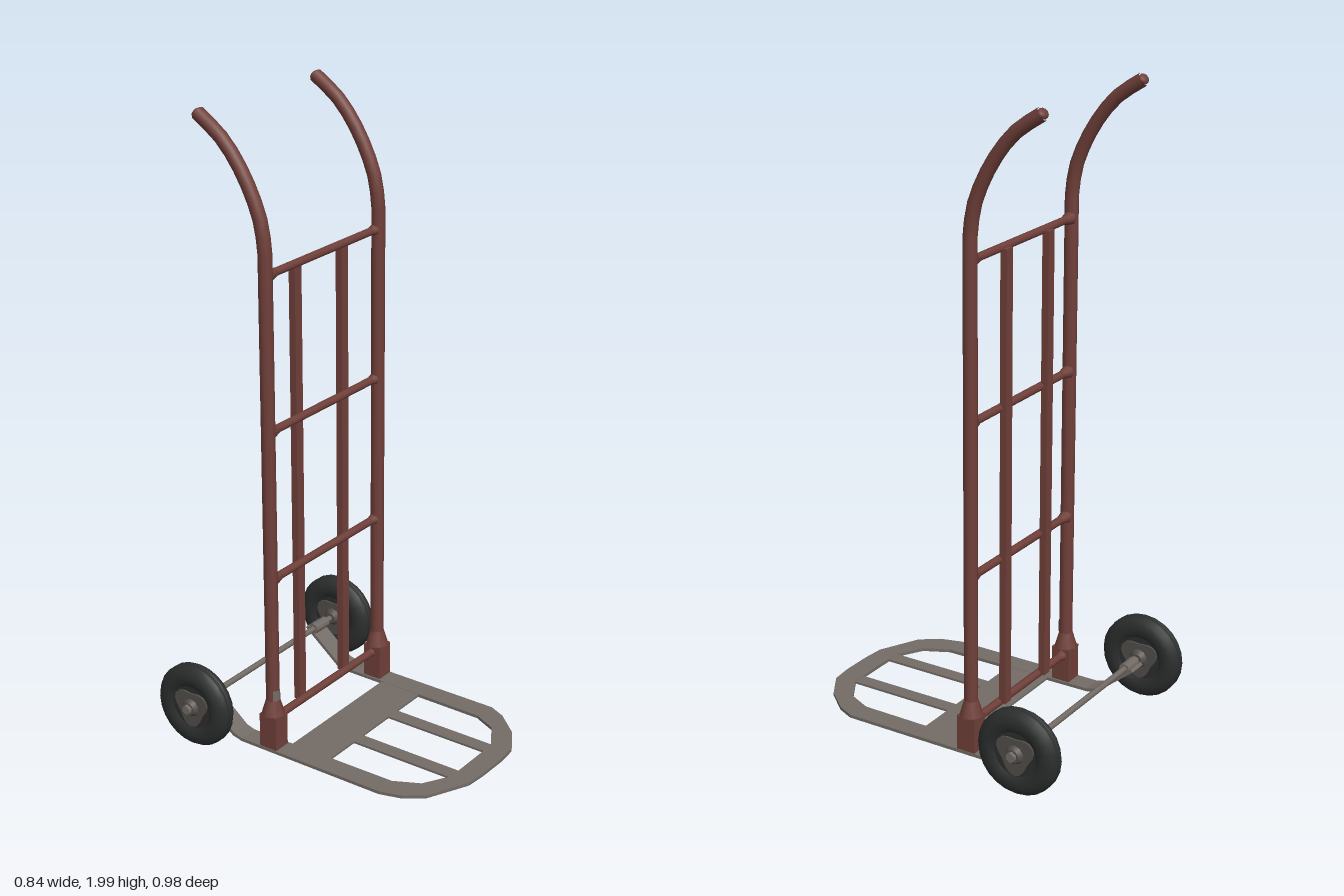
import * as THREE from 'three';

const mat = (name, color) => {
  const m = new THREE.MeshStandardMaterial({ color });
  m.name = name;
  return m;
};

export function createModel() {
  const group = new THREE.Group();
  const red = mat('rusty red paint', 0x71403a);
  const steel = mat('bare steel', 0x746c66);
  const rubber = mat('black rubber', 0x2c2e2e);
  const hubMetal = mat('dark hub metal', 0x524e4b);
  const CX = -0.01, POST = 0.274, ZP = -0.125, AXLE_Y = 0.137, AXLE_Z = -0.357;

  const add = (name, geo, material, x = 0, y = 0, z = 0, parent = group) => {
    const mesh = new THREE.Mesh(geo, material);
    mesh.name = name;
    mesh.position.set(x, y, z);
    parent.add(mesh);
    return mesh;
  };
  const box = (name, m, x0, x1, y0, y1, z0, z1) =>
    add(name, new THREE.BoxGeometry(x1 - x0, y1 - y0, z1 - z0), m,
      (x0 + x1) / 2, (y0 + y1) / 2, (z0 + z1) / 2);
  const barX = (name, m, x0, x1, y, z, r0, r1 = r0, sides = 8, parent = group) => {
    const geo = new THREE.CylinderGeometry(r1, r0, x1 - x0, sides).rotateZ(-Math.PI / 2);
    return add(name, geo, m, (x0 + x1) / 2, y, z, parent);
  };

  // Uprights with swept-back handles
  const path = new THREE.CurvePath();
  const pts = [[0.04, ZP], [1.62, ZP], [1.70, -0.138], [1.78, -0.17], [1.86, -0.218], [1.925, -0.275], [1.98, -0.355]]
    .map(([y, z]) => new THREE.Vector3(0, y, z));
  path.add(new THREE.LineCurve3(pts[0], pts[1]));
  path.add(new THREE.CatmullRomCurve3(pts.slice(1)));
  for (const s of [-1, 1]) {
    const x = CX + s * POST;
    const side = s < 0 ? 'right' : 'left';
    add(side + 'Upright', new THREE.TubeGeometry(path, 40, 0.021, 10), red, x);
    const cap = add(side + 'HandleEnd', new THREE.SphereGeometry(0.021, 10, 6), red, x, 1.98, -0.355);
    cap.scale.set(1, 0.8, 0.5);
    cap.rotation.x = 0.6;
    box(side + 'Socket', red, x - 0.029, x + 0.029, 0.028, 0.145, -0.155, -0.093);
    add(side + 'SocketCollar', new THREE.CylinderGeometry(0.022, 0.037, 0.05, 8), red, x, 0.168, ZP);
  }
  // Worn paint on one upright
  add('wornPatch', new THREE.CylinderGeometry(0.0225, 0.0225, 0.035, 10, 1, true, -0.9, 1.8),
    steel, CX - POST, 0.212, ZP);

  // Ladder rungs with flared weld ends
  for (const y of [0.12, 0.592, 1.067, 1.545]) {
    barX('rung', red, CX - POST, CX + POST, y, -0.128, 0.0125);
    barX('rungWeld', red, CX - POST + 0.015, CX - POST + 0.05, y, -0.128, 0.021, 0.0125);
    barX('rungWeld', red, CX + POST - 0.035, CX + POST - 0.015, y, -0.128, 0.0125, 0.018);
  }
  for (const x of [-0.125, 0.102])
    box('verticalSlat', red, x - 0.016, x + 0.016, 0.12, 1.545, -0.153, -0.131);

  // U-shaped toe frame
  const outline = [
    [-0.315, -0.23], [-0.315, 0.29], [-0.295, 0.36], [-0.25, 0.42], [-0.12, 0.483], [-0.05, 0.489],
    [0.05, 0.49], [0.12, 0.483], [0.205, 0.43], [0.27, 0.355], [0.295, 0.30], [0.295, -0.23],
    [0.23, -0.23], [0.225, 0.29], [0.19, 0.365], [0.1, 0.42], [-0.12, 0.42], [-0.205, 0.37],
    [-0.245, 0.29], [-0.25, -0.23]];
  const shape = new THREE.Shape(outline.map(([x, z]) => new THREE.Vector2(x, z)));
  const frame = new THREE.ExtrudeGeometry(shape, { depth: 0.01, bevelEnabled: false }).rotateX(Math.PI / 2);
  add('toeFrame', frame, steel, 0, 0.033, 0);
  box('toeCrossPlate', steel, -0.25, 0.23, 0.025, 0.032, -0.08, 0.065);
  for (const x of [-0.103, 0.082])
    box('toeSlat', steel, x - 0.023, x + 0.023, 0.025, 0.032, 0.06, 0.43);

  // Frame rails bending up to the axle
  const ramp = [[-0.225, 0.033], [-0.255, 0.041], [-0.38, 0.142], [-0.387, 0.133], [-0.26, 0.031], [-0.225, 0.023]];
  const rampShape = new THREE.Shape(ramp.map(([z, y]) => new THREE.Vector2(-z, y)));
  for (const x of [-0.25, 0.295]) {
    const geo = new THREE.ExtrudeGeometry(rampShape, { depth: 0.065, bevelEnabled: false }).rotateY(Math.PI / 2);
    add('axleRail', geo, steel, x - 0.065);
    barX('axleSleeve', steel, x - 0.065, x, AXLE_Y, AXLE_Z, 0.018);
  }
  barX('axle', steel, -0.412, 0.415, AXLE_Y, AXLE_Z, 0.0095);

  // Wheels: tyre, dished hub, three-lobed plate and nut
  const tyreProfile = [
    [0.07, -0.025], [0.085, -0.034], [0.105, -0.034], [0.124, -0.027], [0.134, -0.013], [0.134, -0.004],
    [0.13, 0], [0.134, 0.004], [0.134, 0.013], [0.124, 0.027], [0.105, 0.034], [0.085, 0.034], [0.07, 0.025]]
    .map(([r, y]) => new THREE.Vector2(r, y));
  const lobes = new THREE.Shape();
  for (let i = 0; i < 24; i++) {
    const a = i / 24 * Math.PI * 2, r = 0.058 + 0.01 * Math.cos(3 * a);
    lobes[i ? 'lineTo' : 'moveTo'](r * Math.sin(a), -r * Math.cos(a));
  }
  for (const s of [-1, 1]) {
    const wheel = new THREE.Group();
    wheel.name = s < 0 ? 'rightWheel' : 'leftWheel';
    wheel.position.set(s < 0 ? -0.37 : 0.364, AXLE_Y, AXLE_Z);
    wheel.rotation.y = s < 0 ? -Math.PI / 2 : Math.PI / 2;
    group.add(wheel);
    add('tyre', new THREE.LatheGeometry(tyreProfile, 24).rotateX(Math.PI / 2), rubber, 0, 0, 0, wheel);
    const disc = (name, r0, r1, z0, z1, m, n = 16) =>
      add(name, new THREE.CylinderGeometry(r1, r0, z1 - z0, n).rotateX(Math.PI / 2), m, 0, 0, (z0 + z1) / 2, wheel);
    disc('hubDisc', 0.074, 0.074, -0.022, 0.022, rubber, 24);
    add('hubPlate', new THREE.ExtrudeGeometry(lobes, { depth: 0.056, bevelEnabled: false }),
      hubMetal, 0, 0, -0.028, wheel);
    disc('outerHub', 0.03, 0.022, 0.028, 0.042, hubMetal, 10);
    disc('axleNut', 0.017, 0.015, 0.042, 0.052, steel, 6);
    disc('innerHub', 0.018, 0.03, -0.042, -0.028, hubMetal, 10);
  }
  return group;
}
